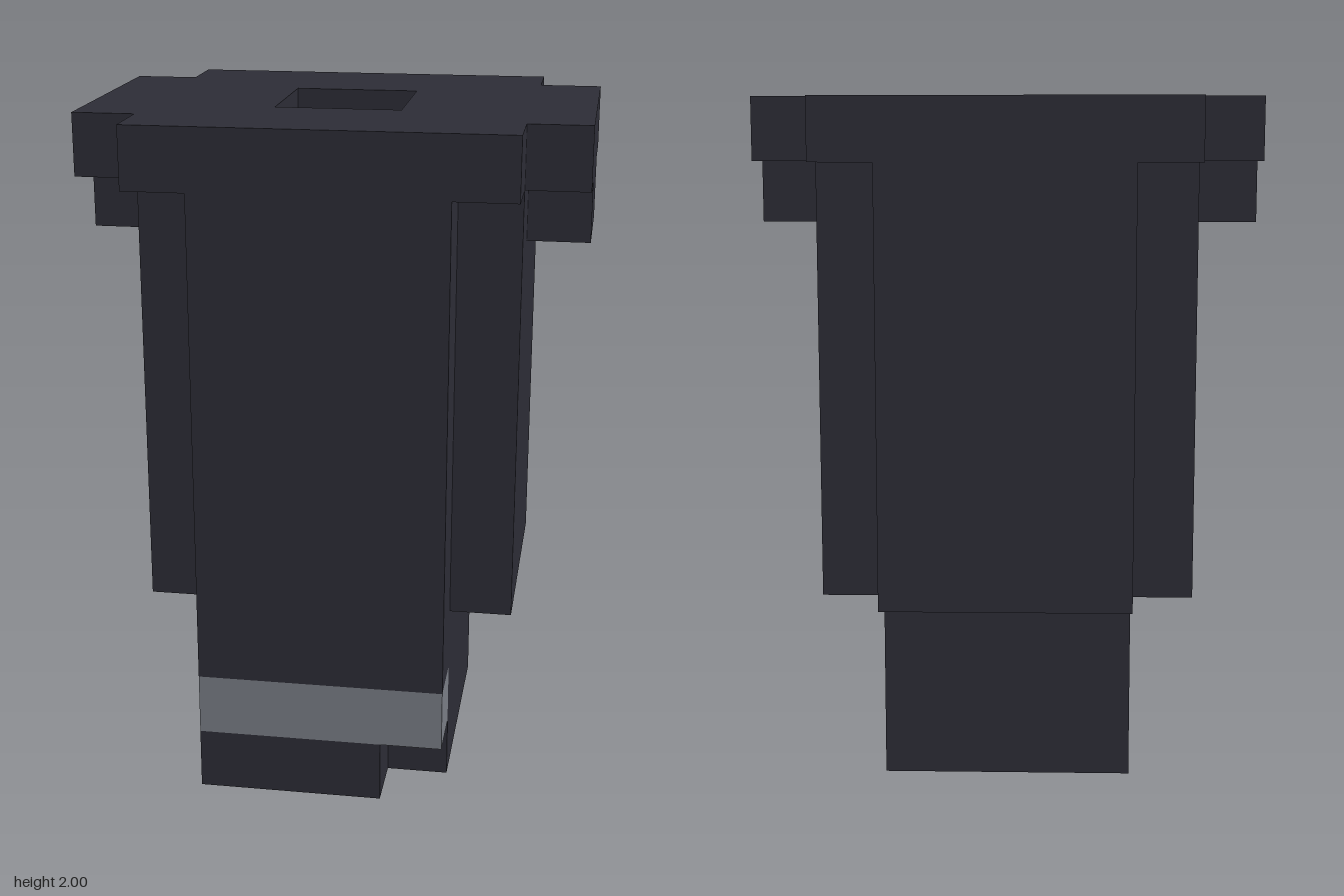
import * as THREE from 'three';

const U = 2 / 11; // one block of the grid

export function createModel() {
  const group = new THREE.Group();
  const dark = new THREE.MeshStandardMaterial({ color: 0x2d2d36 });
  dark.name = 'dark gunmetal';
  const grey = new THREE.MeshStandardMaterial({ color: 0x7a7e86 });
  grey.name = 'mid grey';

  function add(name, geometry, material) {
    const mesh = new THREE.Mesh(geometry, material);
    mesh.name = name;
    group.add(mesh);
  }

  // Box between two corners, in blocks
  function box(name, [x0, y0, z0], [x1, y1, z1], material = dark) {
    const g = new THREE.BoxGeometry((x1 - x0) * U, (y1 - y0) * U, (z1 - z0) * U);
    g.translate((x0 + x1) * U / 2, (y0 + y1) * U / 2, (z0 + z1) * U / 2);
    add(name, g, material);
  }

  // Rectangle with square notched corners, extruded upward, optionally with the square socket
  function notchedSlab(name, w, d, innerW, innerD, y0, y1, socket) {
    const quarter = [[w, -innerD], [w, innerD], [innerW, innerD], [innerW, d]];
    const half = [...quarter, ...quarter.slice(2).reverse().map(([x, y]) => [-x, y]), [-w, innerD], [-w, -innerD]];
    const outline = [...half, [-innerW, -innerD], [-innerW, -d], [innerW, -d], [innerW, -innerD]];
    const shape = new THREE.Shape(outline.map(([x, y]) => new THREE.Vector2(x * U, y * U)));
    if (socket) {
      const corners = [[-1, -1], [-1, 1], [1, 1], [1, -1]];
      shape.holes.push(new THREE.Path(corners.map(([x, y]) => new THREE.Vector2(x * U, y * U))));
    }
    const g = new THREE.ExtrudeGeometry(shape, { depth: (y1 - y0) * U, bevelEnabled: false });
    g.rotateX(-Math.PI / 2).translate(0, y0 * U, 0);
    add(name, g, dark);
  }

  // Top plate and cross-shaped shaft around the socket
  notchedSlab('topPlate', 4, 3, 3, 2, 10, 11, true);
  notchedSlab('shaftCollar', 3, 3, 2, 2, 9, 10, true);
  notchedSlab('shaft', 3, 3, 2, 2, 3, 9, false);

  // Lugs under the plate ends
  for (const side of [-1, 1]) {
    const x = side * 3.5;
    box(side > 0 ? 'leftLug' : 'rightLug', [x - 0.5, 9, -1], [x + 0.5, 10, 1]);
  }

  // Narrow foot with a front band and a notched toe
  box('foot', [-2, 0, -2], [2, 3, 2]);
  box('footFront', [-2, 2, 2], [2, 3, 3]);
  box('frontBand', [-2, 1, 2], [2, 2, 3], grey);
  box('toe', [-2, 0, 2], [1, 1, 3]);

  return group;
}
